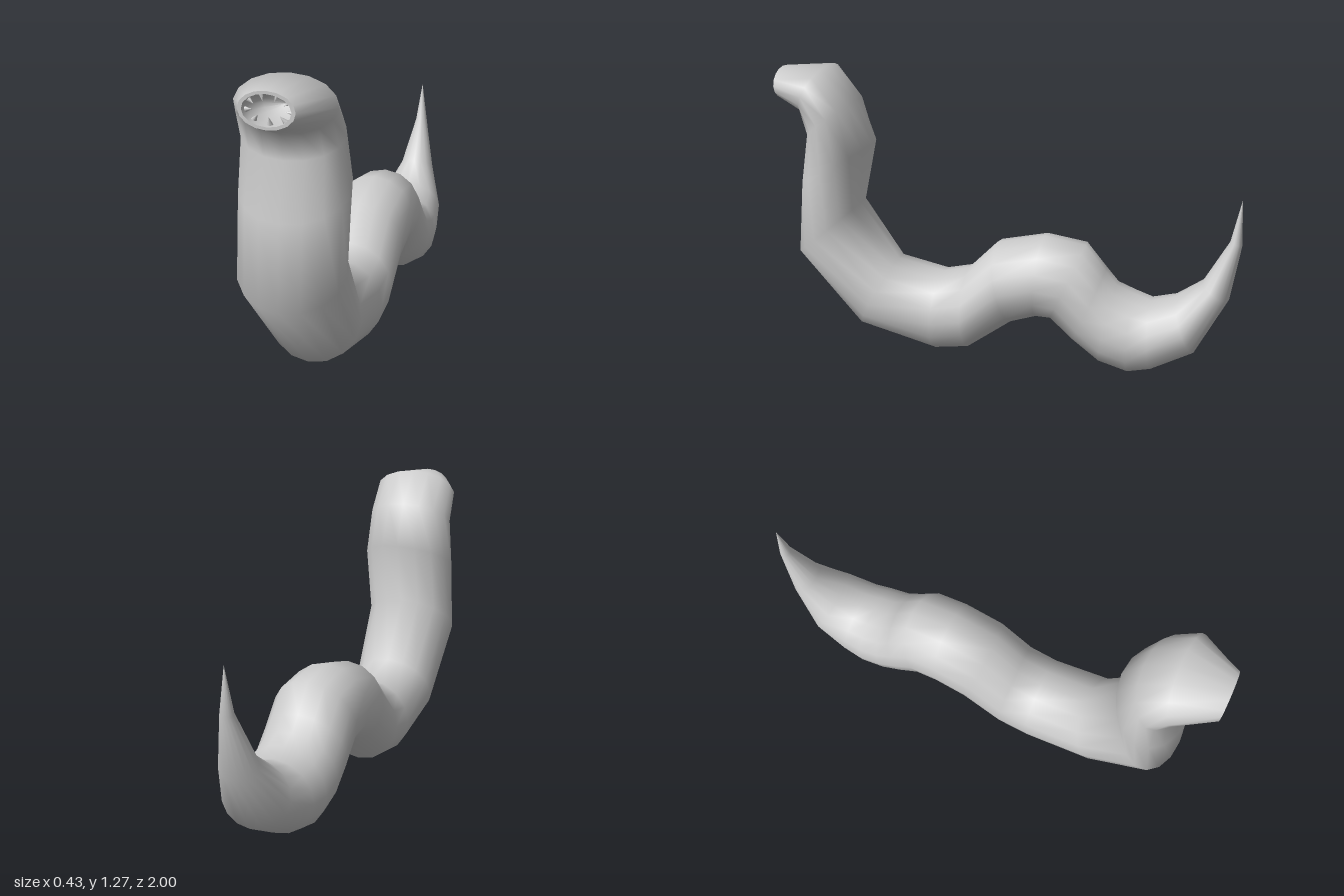
import * as THREE from 'three';

const SIDES = 16;
const material = new THREE.MeshStandardMaterial({ color: 0xcccccc });

// Skin elliptical rings: [topZ, topY, bottomZ, bottomY, halfWidth]
function loft(name, rings) {
  const pos = [], index = [];
  for (const [zt, yt, zb, yb, w] of rings) {
    for (let j = 0; j < SIDES; j++) {
      const a = (j / SIDES) * Math.PI * 2;
      const c = Math.cos(a) / 2;
      pos.push(w * Math.sin(a), (yt + yb) / 2 + (yt - yb) * c, (zt + zb) / 2 + (zt - zb) * c);
    }
  }
  for (let i = 0; i < rings.length - 1; i++) {
    for (let j = 0; j < SIDES; j++) {
      const k = (j + 1) % SIDES;
      const a = i * SIDES + j, b = i * SIDES + k;
      index.push(a, b, a + SIDES, b, b + SIDES, a + SIDES);
    }
  }
  const geometry = new THREE.BufferGeometry();
  geometry.setAttribute('position', new THREE.Float32BufferAttribute(pos, 3));
  geometry.setIndex(index);
  geometry.computeVertexNormals();
  const mesh = new THREE.Mesh(geometry, material);
  mesh.name = name;
  return mesh;
}

export function createModel() {
  const model = new THREE.Group();
  model.name = 'worm';

  // Body, from the mouth back to the tip of the tail
  model.add(loft('body', [
    [1, 1.26, 1, 1.125, 0.105],
    [0.79, 1.275, 0.885, 1.08, 0.195],
    [0.67, 1.13, 0.87, 0.98, 0.2],
    [0.605, 0.94, 0.92, 0.76, 0.215],
    [0.67, 0.66, 0.95, 0.43, 0.213],
    [0.5, 0.41, 0.665, 0.09, 0.19],
    [0.29, 0.37, 0.315, 0.005, 0.187],
    [0.17, 0.4, 0.16, 0.03, 0.187],
    [0.04, 0.535, -0.04, 0.18, 0.187],
    [-0.17, 0.585, -0.15, 0.22, 0.187],
    [-0.35, 0.56, -0.21, 0.22, 0.187],
    [-0.44, 0.45, -0.31, 0.13, 0.187],
    [-0.49, 0.39, -0.43, 0.04, 0.187],
    [-0.565, 0.36, -0.56, 0.005, 0.187],
    [-0.64, 0.335, -0.66, 0.03, 0.175],
    [-0.74, 0.365, -0.84, 0.13, 0.15],
    [-0.85, 0.45, -0.965, 0.38, 0.08],
    [-0.95, 0.64, -1, 0.63, 0.028],
    [-0.985, 0.82, -0.985, 0.82, 0],
  ]));

  // Flat lip and the hollow behind it
  const lip = [1, 1.249, 1, 1.136, 0.09];
  model.add(loft('lip', [lip, [1, 1.26, 1, 1.125, 0.105]]));
  model.add(loft('throat', [
    [0.83, 1.175, 0.83, 1.175, 0],
    [0.85, 1.22, 0.87, 1.14, 0.07],
    [0.93, 1.247, 0.93, 1.133, 0.092],
    lip,
  ]));

  // Ring of small teeth pointing inwards
  const teeth = new THREE.Group();
  teeth.name = 'teeth';
  const toothGeometry = new THREE.ConeGeometry(0.011, 0.032, 6);
  toothGeometry.translate(0, 0.012, 0);
  const up = new THREE.Vector3(0, 1, 0);
  const count = 9;
  for (let i = 0; i < count; i++) {
    const a = (i / count) * Math.PI * 2;
    const tooth = new THREE.Mesh(toothGeometry, material);
    tooth.name = 'tooth';
    tooth.position.set(0.088 * Math.sin(a), 1.1925 - 0.054 * Math.cos(a), 0.97);
    const inward = new THREE.Vector3(-Math.sin(a), Math.cos(a), 0.35).normalize();
    tooth.quaternion.setFromUnitVectors(up, inward);
    teeth.add(tooth);
  }
  model.add(teeth);
  return model;
}
